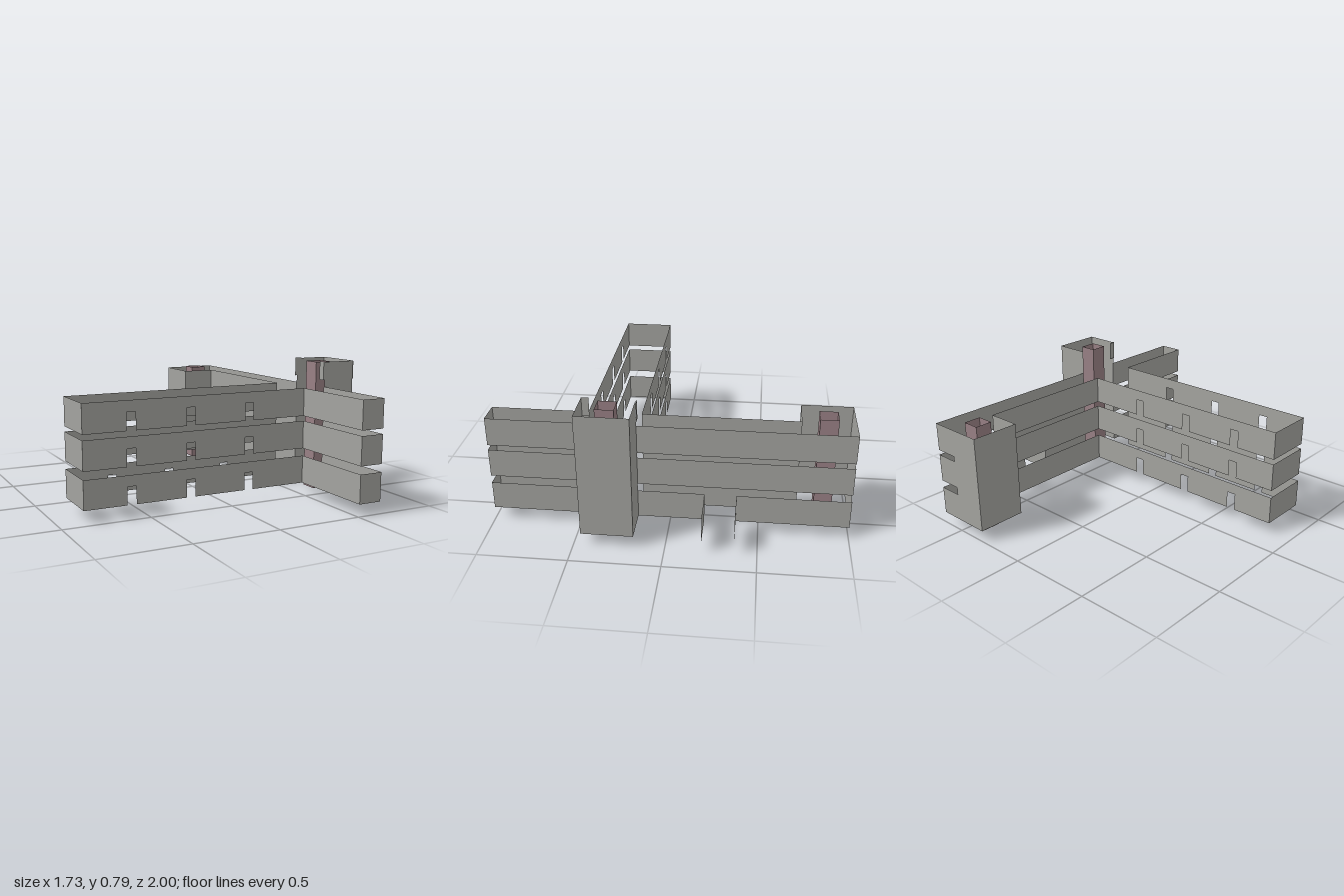
import * as THREE from 'three';

const grey = new THREE.MeshStandardMaterial({ color: 0xa3a39f, side: THREE.DoubleSide });
grey.name = 'weatheredGrey';
const maroon = new THREE.MeshStandardMaterial({ color: 0x988084, side: THREE.DoubleSide });
maroon.name = 'dustyMaroon';

// Upright sheet from plan point a to plan point b ([x, z]); notches are [start, end, top] cut into its lower edge
function wall(group, name, material, a, b, y0, y1, notches = []) {
  const dx = b[0] - a[0], dz = b[1] - a[1];
  const length = Math.hypot(dx, dz);
  const shape = new THREE.Shape();
  shape.moveTo(0, y0);
  for (const [start, end, top] of notches) {
    shape.lineTo(start, y0);
    shape.lineTo(start, top);
    shape.lineTo(end, top);
    shape.lineTo(end, y0);
  }
  shape.lineTo(length, y0);
  shape.lineTo(length, y1);
  shape.lineTo(0, y1);
  const mesh = new THREE.Mesh(new THREE.ShapeGeometry(shape), material);
  mesh.position.set(a[0], 0, a[1]);
  mesh.rotation.y = Math.atan2(-dz, dx);
  mesh.name = name;
  group.add(mesh);
}

// Run of sheets along a plan path
function run(group, name, material, points, y0, y1) {
  for (let i = 0; i < points.length - 1; i++) {
    wall(group, name, material, points[i], points[i + 1], y0, y1);
  }
}

function part(parent, name) {
  const g = new THREE.Group();
  g.name = name;
  parent.add(g);
  return g;
}

export function createModel() {
  const model = new THREE.Group();
  model.name = 'fenceCorner';

  const X0 = -0.865, XI = 0.505, XO = 0.645;   // rail end, inner and outer faces of the cross rails
  const ZB = 0.16, ZF = 0.455;                 // back and front faces of the long rails
  const rows = [[0.07, 0.235, 0.172], [0.28, 0.445, 0.38], [0.475, 0.64, 0.577]];

  rows.forEach(([y0, y1, notchTop], i) => {
    // Long rails along x, notched on both faces and joined to the cross rails
    const long = part(model, 'longRail' + (i + 1));
    const notches = [-0.618, -0.263, 0.107].map(x => [x - X0, x + 0.053 - X0, notchTop]);
    wall(long, 'backFace', grey, [X0, ZB], [XI, ZB], y0, y1, notches);
    wall(long, 'frontFace', grey, [X0, ZF], [XI, ZF], y0, y1, notches);
    wall(long, 'endFace', grey, [X0, ZB], [X0, ZF], y0, y1);

    // Cross rails along z, open where the other members meet them
    const cross = part(model, 'crossRail' + (i + 1));
    run(cross, 'frontEnd', grey, [[XI, ZF], [XI, 1], [XO, 1], [XO, ZF]], y0, y1);
    wall(cross, 'innerFace', grey, [XI, -0.71], [XI, ZB], y0, y1);
    wall(cross, 'backEnd', grey, [XI, -1], [XO, -1], y0, y1);
    if (i === 0) {
      wall(cross, 'outerFaceBack', grey, [XO, -1], [XO, -0.375], y0, y1);
      wall(cross, 'outerFaceMiddle', grey, [XO, -0.2], [XO, 0.17], y0, y1);
    } else {
      wall(cross, 'outerFace', grey, [XO, -1], [XO, 0.17], y0, y1);
    }
  });

  // Short stub rail on the outside: two cheeks with an open end
  const stub = part(model, 'stubRail');
  for (const z of [-0.2, -0.375]) wall(stub, 'stubCheek', grey, [XO, z], [0.862, z], 0.07, 0.235);

  // Three-sided casings around the posts
  const tall = part(model, 'tallPostCasing');
  run(tall, 'casingSide', grey, [[XO, 0.17], [0.85, 0.17], [0.85, 0.46], [XO, 0.46]], 0.07, 0.788);
  const back = part(model, 'backPostCasing');
  run(back, 'casingSide', grey, [[XI, -0.71], [0.302, -0.71], [0.302, -1], [XI, -1]], 0.07, 0.64);

  // Small lips at the top of the tall casing
  wall(tall, 'outerLip', grey, [0.854, 0.32], [0.854, 0.46], 0.68, 0.785);
  wall(tall, 'innerLip', grey, [0.637, 0.42], [0.637, 0.46], 0.68, 0.79);
  wall(tall, 'frontLipReturn', grey, [0.637, 0.46], [XO, 0.46], 0.68, 0.79);
  wall(tall, 'backLip', grey, [0.637, 0.163], [0.68, 0.163], 0.68, 0.79);

  // Hollow square posts
  for (const [name, x, z, h] of [['tallPost', 0.647, 0.268, 0.78], ['backPost', 0.4, -0.907, 0.655]]) {
    const post = part(model, name);
    const w = 0.102;
    run(post, 'postSide', maroon, [[x, z], [x, z + w], [x + w, z + w], [x + w, z], [x, z]], 0, h);
  }
  return model;
}
